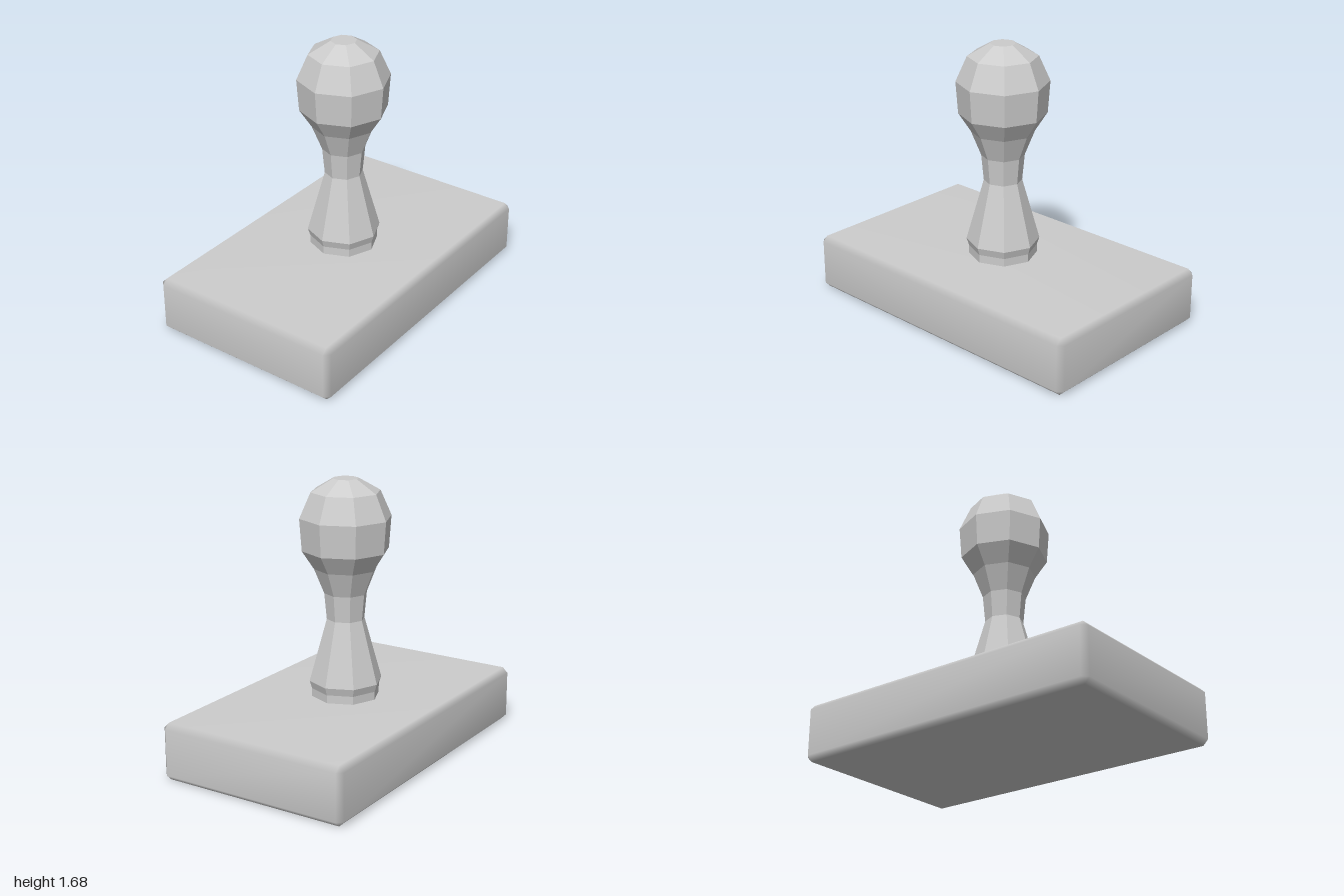
import * as THREE from 'three';
import { mergeVertices } from 'three/addons/utils/BufferGeometryUtils.js';
import { ConvexGeometry } from 'three/addons/geometries/ConvexGeometry.js';

// Box with a single chamfer on every edge, shaded smoothly across the chamfers
function chamferedBox(w, h, d, c) {
  const half = [w / 2, h / 2, d / 2];
  const points = [];
  for (const sx of [-1, 1]) for (const sy of [-1, 1]) for (const sz of [-1, 1]) {
    for (let face = 0; face < 3; face++) {
      const p = half.map((v, axis) => (axis === face ? v : v - c));
      points.push(new THREE.Vector3(p[0] * sx, p[1] * sy, p[2] * sz));
    }
  }
  const hull = new ConvexGeometry(points);
  hull.deleteAttribute('normal');
  const geometry = mergeVertices(hull, 1e-4);
  geometry.computeVertexNormals();
  return geometry;
}

// Eight-sided turned shape with flat facets
function facetedLathe(profile, sides) {
  const lathe = new THREE.LatheGeometry(profile.map(([r, y]) => new THREE.Vector2(r, y)), sides);
  const geometry = lathe.toNonIndexed();
  geometry.computeVertexNormals();
  return geometry;
}

export function createModel() {
  const group = new THREE.Group();
  const grey = new THREE.MeshStandardMaterial({ color: 0xcccccc });
  grey.name = 'light grey';

  // Rectangular block
  const base = new THREE.Mesh(chamferedBox(2, 0.35, 1.23, 0.033), grey);
  base.name = 'base';
  base.position.y = 0.175;
  group.add(base);

  // Handle: collar, narrow waist and rounded knob, as radius and height
  const handle = new THREE.Mesh(facetedLathe([
    [0.207, 0.34], [0.207, 0.4], [0.222, 0.447], [0.115, 0.83], [0.13, 0.99],
    [0.19, 1.14], [0.263, 1.252], [0.277, 1.447], [0.209, 1.6], [0.077, 1.677], [0, 1.677],
  ], 8), grey);
  handle.name = 'handle';
  group.add(handle);

  return group;
}
